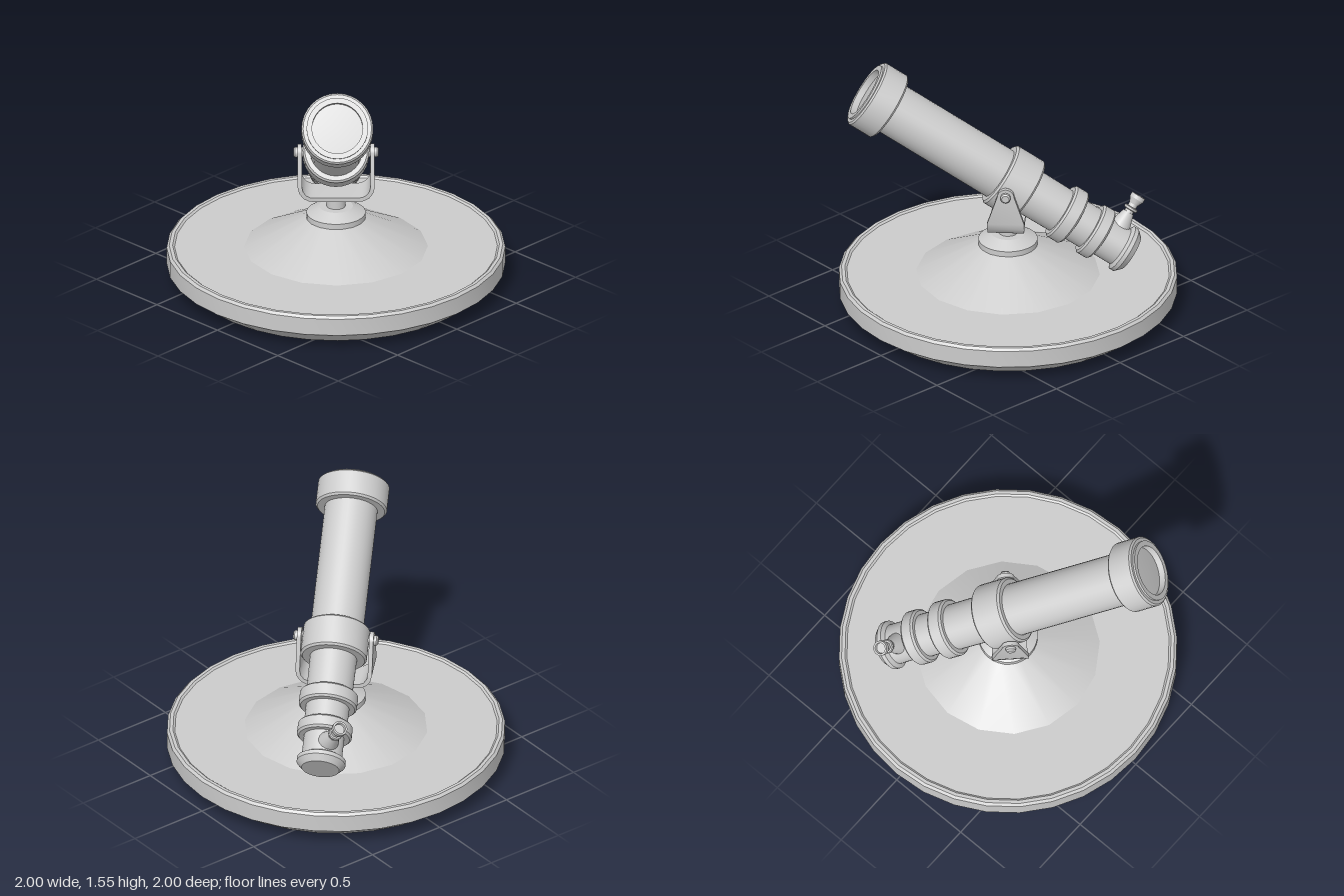
import * as THREE from 'three';
import { toCreasedNormals } from 'three/addons/utils/BufferGeometryUtils.js';

const grey = new THREE.MeshStandardMaterial({ color: 0xcccccc });

function add(parent, name, geometry) {
  const mesh = new THREE.Mesh(geometry, grey);
  mesh.name = name;
  parent.add(mesh);
  return mesh;
}

// Turned part: profile of [radius, height] listed from bottom to top
function turned(parent, name, profile, sides = 32) {
  const geo = new THREE.LatheGeometry(profile.map(([r, y]) => new THREE.Vector2(r, y)), sides);
  return add(parent, name, toCreasedNormals(geo, 0.45));
}

// Closed band with small bevelled edges
function band(parent, name, r, y0, y1, bevel = 0.012) {
  return turned(parent, name, [
    [0, y0], [r - bevel, y0], [r, y0 + bevel], [r, y1 - bevel], [r - bevel, y1], [0, y1],
  ]);
}

// U-shaped yoke: a box bent along a path, tapering to rounded arm tops
function yokeGeometry(pivotY) {
  const tipR = 0.05, thick = 0.025, armX = 0.215;
  const half = [];
  for (let i = 0; i <= 6; i++) {
    const a = (Math.PI / 2) * (1 - i / 6);
    half.push([armX, pivotY + tipR * Math.sin(a), Math.max(0.004, tipR * Math.cos(a))]);
  }
  half.push([armX, 0.645, 0.11], [0.207, 0.61, 0.11], [0.185, 0.58, 0.108],
    [0.155, 0.564, 0.105], [0.12, 0.56, 0.102]);
  const path = [...half.map(([x, y, w]) => [-x, y, w]), ...half.slice().reverse()];
  const n = path.length - 1;
  const geo = new THREE.BoxGeometry(1, 1, 1, n, 1, 1);
  const pos = geo.attributes.position;
  for (let i = 0; i < pos.count; i++) {
    const k = Math.round((pos.getX(i) + 0.5) * n);
    const [x, y, w] = path[k];
    const a = path[Math.max(0, k - 1)], b = path[Math.min(n, k + 1)];
    const t = new THREE.Vector2(b[0] - a[0], b[1] - a[1]).normalize();
    const off = pos.getY(i) * thick;
    pos.setXYZ(i, x - t.y * off, y + t.x * off, pos.getZ(i) * 2 * w);
  }
  return toCreasedNormals(geo, 0.6);
}

export function createModel() {
  const model = new THREE.Group();
  model.name = 'telescopeOnStand';

  // Stand
  turned(model, 'baseDisc', [
    [0, 0], [0.86, 0], [1, 0.1], [1, 0.205], [0.985, 0.22], [0.965, 0.22], [0.953, 0.21], [0, 0.21],
  ]);
  turned(model, 'baseCone', [[0.545, 0.209], [0.16, 0.41], [0, 0.41]], 16);
  turned(model, 'pedestal', [[0, 0.39], [0.175, 0.39], [0.175, 0.435], [0.1, 0.475], [0, 0.475]]);
  turned(model, 'post', [[0.055, 0.46], [0.055, 0.555]]);

  // Head, turned to face the front left corner
  const pivotY = 0.825;
  const head = new THREE.Group();
  head.name = 'head';
  head.rotation.y = Math.PI / 4;
  model.add(head);

  add(head, 'yoke', yokeGeometry(pivotY));
  for (const side of [-1, 1]) {
    const bolt = turned(head, 'pivotBolt', [
      [0.03, 0.17], [0.03, 0.243], [0.022, 0.252], [0, 0.252],
    ], 16);
    bolt.position.y = pivotY;
    bolt.rotation.z = -side * Math.PI / 2;
  }

  // Optical tube, built along its own y axis and tilted up
  const tube = new THREE.Group();
  tube.name = 'opticalTube';
  tube.position.y = pivotY + 0.007;
  tube.rotation.x = THREE.MathUtils.degToRad(57);
  head.add(tube);

  turned(tube, 'mainTube', [[0, -0.1], [0.157, -0.1], [0.157, 0.87]]);
  band(tube, 'pivotCollar', 0.197, -0.14, 0.06);
  turned(tube, 'middleTube', [[0.136, -0.45], [0.14, -0.1]]);
  band(tube, 'middleRing', 0.173, -0.465, -0.37);
  turned(tube, 'rearTube', [[0.128, -0.65], [0.13, -0.4]]);
  band(tube, 'rearRing', 0.163, -0.66, -0.575);
  turned(tube, 'tailTube', [[0.12, -0.82], [0.12, -0.6]]);
  turned(tube, 'endCap', [
    [0, -0.865], [0.112, -0.865], [0.145, -0.83], [0.145, -0.805], [0.12, -0.79],
  ]);

  // Front hood with a stepped rim and recessed lens
  turned(tube, 'frontHood', [
    [0.15, 0.835], [0.2, 0.835], [0.212, 0.847], [0.212, 0.99], [0.202, 1],
    [0.182, 1], [0.182, 1.012], [0.15, 1.012], [0.15, 0.97],
  ]);
  turned(tube, 'lens', [[0.152, 0.972], [0, 0.98]]);

  // Eyepiece standing out of the tail, rolled to one side
  const roll = THREE.MathUtils.degToRad(23);
  const eyepiece = new THREE.Group();
  eyepiece.name = 'eyepiece';
  eyepiece.position.y = -0.725;
  eyepiece.quaternion.setFromUnitVectors(
    new THREE.Vector3(0, 1, 0),
    new THREE.Vector3(-Math.sin(roll), 0, -Math.cos(roll)),
  );
  tube.add(eyepiece);
  turned(eyepiece, 'eyepieceSocket', [[0.065, 0.09], [0.058, 0.125], [0.034, 0.2], [0, 0.2]], 20);
  turned(eyepiece, 'eyepieceStem', [[0.027, 0.19], [0.027, 0.27]], 20);
  band(eyepiece, 'eyepieceRing', 0.042, 0.215, 0.236, 0.005);
  turned(eyepiece, 'eyeCup', [
    [0.027, 0.255], [0.045, 0.29], [0.045, 0.315], [0.033, 0.315], [0.03, 0.3], [0, 0.3],
  ], 20);

  return model;
}
